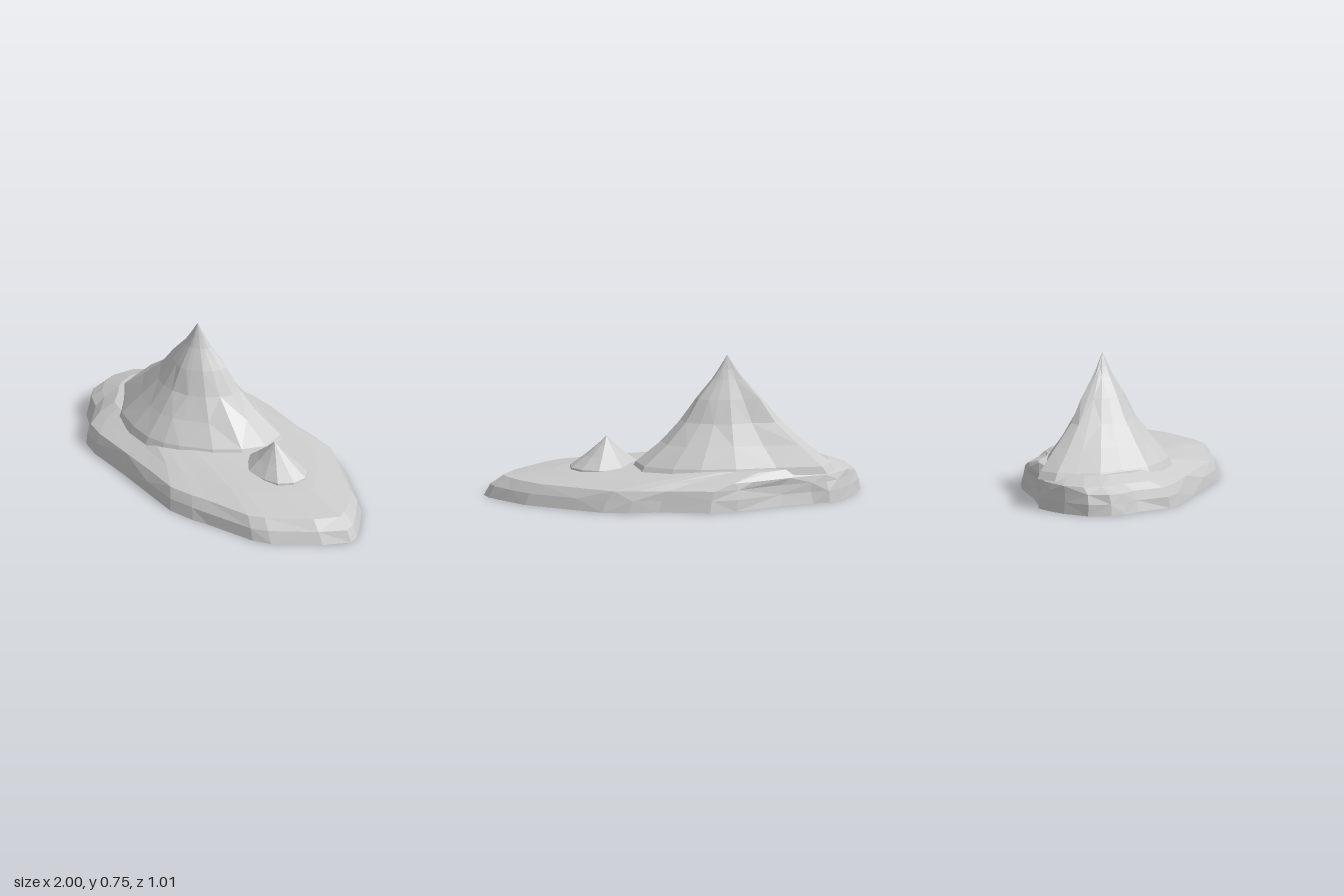
import * as THREE from 'three';

// Small seeded generator for the uneven rock surface
function seeded(seed) {
  return () => {
    seed = (seed * 16807) % 2147483647;
    return seed / 2147483647 - 0.5;
  };
}

// Faceted skin over a stack of equal-length rings, closed by a point at each end
function loft(name, rings, bottom, top) {
  const n = rings[0].length;
  const positions = [];
  const tri = (a, b, c) => positions.push(...a, ...b, ...c);
  for (let i = 0; i < n; i++) {
    const j = (i + 1) % n;
    tri(bottom, rings[0][i], rings[0][j]);
    for (let k = 0; k < rings.length - 1; k++) {
      const a = rings[k][i], b = rings[k][j], c = rings[k + 1][i], d = rings[k + 1][j];
      if ((i + k) % 2) { tri(a, c, b); tri(b, c, d); }
      else { tri(a, c, d); tri(a, d, b); }
    }
    const last = rings[rings.length - 1];
    tri(top, last[j], last[i]);
  }
  const geometry = new THREE.BufferGeometry();
  geometry.setAttribute('position', new THREE.Float32BufferAttribute(positions, 3));
  geometry.computeVertexNormals();
  const mesh = new THREE.Mesh(geometry, new THREE.MeshStandardMaterial({ color: 0xcccccc, flatShading: true }));
  mesh.name = name;
  return mesh;
}

// Peak: the foot outline shrinks toward the apex; levels hold [height, fraction]
function peak(name, outline, apex, levels, rough, seed) {
  const rand = seeded(seed);
  const rings = levels.map(([y, f], k) => outline.map(([x, z]) => {
    const s = f * (1 + (k > 1 ? rand() * rough : 0));
    return [apex[0] + (x - apex[0]) * s, y, apex[2] + (z - apex[2]) * s];
  }));
  return loft(name, rings, [apex[0], levels[0][0], apex[2]], apex);
}

export function createModel() {
  const group = new THREE.Group();
  group.name = 'island';

  // Low island plateau, sloping down toward +x
  const shore = [
    [1, 0], [0.92, 0.13], [0.73, 0.33], [0.64, 0.38], [0.36, 0.45], [0.27, 0.48], [0.12, 0.505],
    [-0.1, 0.475], [-0.32, 0.445], [-0.58, 0.42], [-0.69, 0.385], [-0.83, 0.24], [-0.91, 0.19],
    [-0.97, 0.12], [-1, 0], [-0.95, -0.14], [-0.88, -0.24], [-0.82, -0.3], [-0.73, -0.315],
    [-0.56, -0.37], [-0.31, -0.48], [-0.17, -0.51], [0.1, -0.475], [0.26, -0.48], [0.4, -0.46],
    [0.56, -0.38], [0.8, -0.25], [0.9, -0.15], [0.98, -0.06],
  ];
  // Each terrace: height, x scale, x shift, z scale, z shift, roughness
  const terraces = [
    [0, 1, 0, 1, 0, 0],
    [0.06, 0.973, -0.012, 0.97, 0, 0.02],
    [0.11, 0.938, -0.037, 0.93, -0.007, 0.02],
    [0.145, 0.785, -0.165, 0.8, -0.035, 0.03],
    [0.185, 0.475, -0.355, 0.63, -0.05, 0.02],
  ];
  const rand = seeded(41);
  const rings = terraces.map(([y, sx, cx, sz, cz, rough]) => shore.map(([x, z]) => {
    const s = 1 + rand() * rough;
    return [cx + x * sx * s, y, cz + z * sz * s];
  }));
  group.add(loft('plateau', rings, [0, 0, 0], [-0.3, 0.185, -0.05]));

  // Large mountain
  const mountainFoot = [
    [0.21, -0.1], [0.15, 0.02], [0.05, 0.14], [-0.1, 0.25], [-0.18, 0.29], [-0.28, 0.315],
    [-0.42, 0.3], [-0.57, 0.25], [-0.68, 0.13], [-0.79, 0.03], [-0.82, -0.1], [-0.84, -0.2],
    [-0.79, -0.3], [-0.54, -0.31], [-0.32, -0.34], [-0.13, -0.335], [0.02, -0.31], [0.17, -0.24],
  ];
  group.add(peak('mountain', mountainFoot, [-0.29, 0.755, -0.05], [
    [0.155, 1.03], [0.195, 0.98], [0.3, 0.73], [0.41, 0.5], [0.53, 0.33], [0.63, 0.16], [0.68, 0.09],
  ], 0.06, 7));

  // Small hill
  const hillFoot = [
    [0.54, -0.08], [0.54, 0], [0.49, 0.07], [0.41, 0.095], [0.29, 0.105], [0.22, 0.06],
    [0.165, 0], [0.21, -0.07], [0.27, -0.15], [0.4, -0.175], [0.49, -0.14],
  ];
  group.add(peak('hill', hillFoot, [0.35, 0.32, -0.03], [
    [0.14, 1.03], [0.16, 1], [0.22, 0.58], [0.275, 0.24],
  ], 0.04, 19));

  return group;
}
